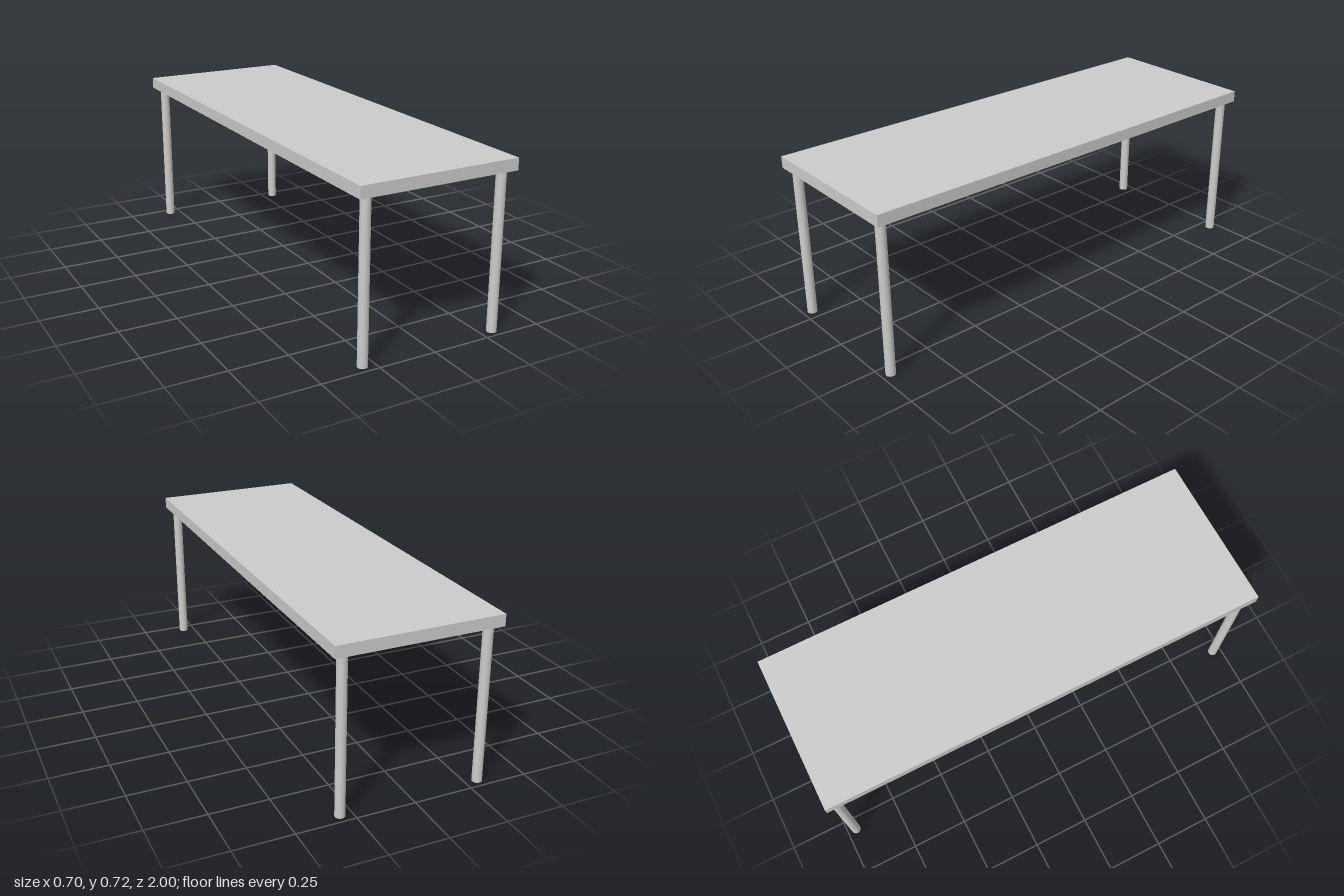
import * as THREE from 'three';

export function createModel() {
  const table = new THREE.Group();
  table.name = 'table';
  const material = new THREE.MeshStandardMaterial({ color: 0xcccccc });

  const width = 0.698, length = 2, height = 0.723, thickness = 0.05;
  const legHeight = height - thickness;

  // Flat rectangular top
  const top = new THREE.Mesh(new THREE.BoxGeometry(width, thickness, length), material);
  top.name = 'tableTop';
  top.position.y = height - thickness / 2;
  table.add(top);

  // Four round legs, one near each corner
  const legGeometry = new THREE.CylinderGeometry(0.021, 0.021, legHeight, 32);
  for (const [endName, z] of [['front', 0.96], ['back', -0.96]]) {
    for (const [sideName, x] of [['Left', 0.302], ['Right', -0.302]]) {
      const leg = new THREE.Mesh(legGeometry, material);
      leg.name = `${endName}${sideName}Leg`;
      leg.position.set(x, legHeight / 2, z);
      table.add(leg);
    }
  }
  return table;
}
